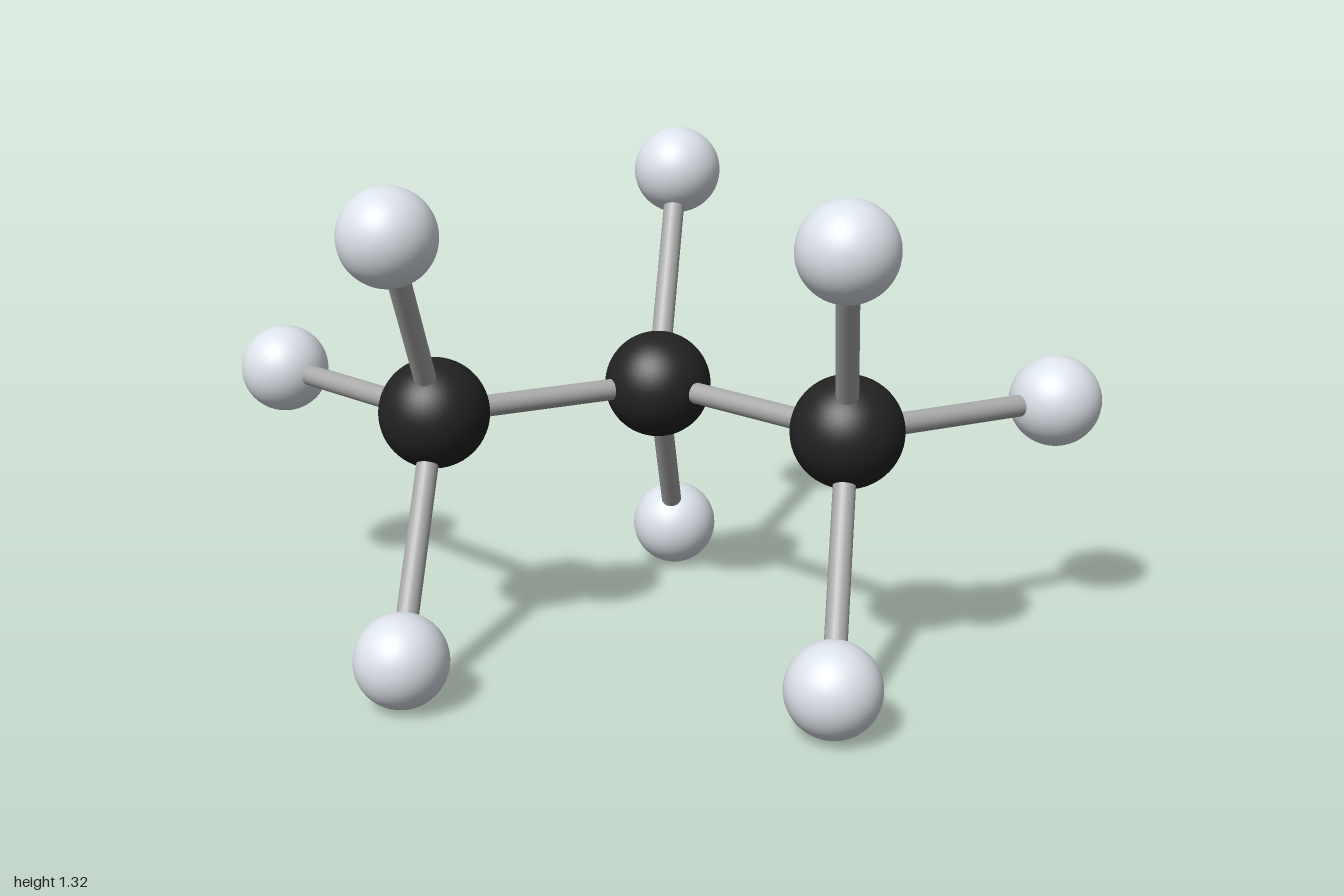
import * as THREE from 'three';

const L = 0.6585;             // bond length
const MID = 0.66;             // height of the carbon plane
const UP = L * 0.8165;        // tetrahedral offsets
const DX = L / 3, DZ = L * 0.4714;
const CARBON_R = 0.146, HYDROGEN_R = 0.122, BOND_R = 0.029;

export function createModel() {
  const group = new THREE.Group();
  const dark = new THREE.MeshStandardMaterial({ color: 0x222222 });
  const pale = new THREE.MeshStandardMaterial({ color: 0xdde3ea });
  const grey = new THREE.MeshStandardMaterial({ color: 0xaaaaaa });
  const carbonGeo = new THREE.SphereGeometry(CARBON_R, 48, 32);
  const hydrogenGeo = new THREE.SphereGeometry(HYDROGEN_R, 48, 32);
  const bondGeo = new THREE.CylinderGeometry(BOND_R, BOND_R, L, 24);
  const up = new THREE.Vector3(0, 1, 0);

  const addAtom = (name, geo, mat, pos) => {
    const atom = new THREE.Mesh(geo, mat);
    atom.name = name;
    atom.position.copy(pos);
    group.add(atom);
  };

  // Stick between two atom centres
  const addBond = (name, a, b) => {
    const bond = new THREE.Mesh(bondGeo, grey);
    const dir = b.clone().sub(a);
    bond.name = name;
    bond.position.copy(a).add(b).multiplyScalar(0.5);
    bond.scale.y = dir.length() / L;
    bond.quaternion.setFromUnitVectors(up, dir.normalize());
    group.add(bond);
  };

  // Each carbon with the offsets of its hydrogens
  const carbons = [
    { name: 'middle', pos: [0, MID, -DZ / 2], arms: [[-DX, UP, -DZ], [-DX, -UP, -DZ]] },
    { name: 'left', pos: [L, MID, -DZ / 2], arms: [[DX, UP, DZ], [DX, -UP, DZ], [DX, 0, -2 * DZ]] },
    { name: 'right', pos: [-DX, MID, 1.5 * DZ], arms: [[DX, UP, DZ], [DX, -UP, DZ], [-L, 0, 0]] },
  ];
  const centres = carbons.map(({ name, pos, arms }) => {
    const c = new THREE.Vector3(...pos);
    addAtom(name + 'Carbon', carbonGeo, dark, c);
    arms.forEach((arm, i) => {
      const h = c.clone().add(new THREE.Vector3(...arm));
      addAtom(name + 'Hydrogen' + (i + 1), hydrogenGeo, pale, h);
      addBond(name + 'HydrogenBond' + (i + 1), c, h);
    });
    return c;
  });

  // Carbon backbone
  addBond('leftCarbonBond', centres[0], centres[1]);
  addBond('rightCarbonBond', centres[0], centres[2]);
  return group;
}
